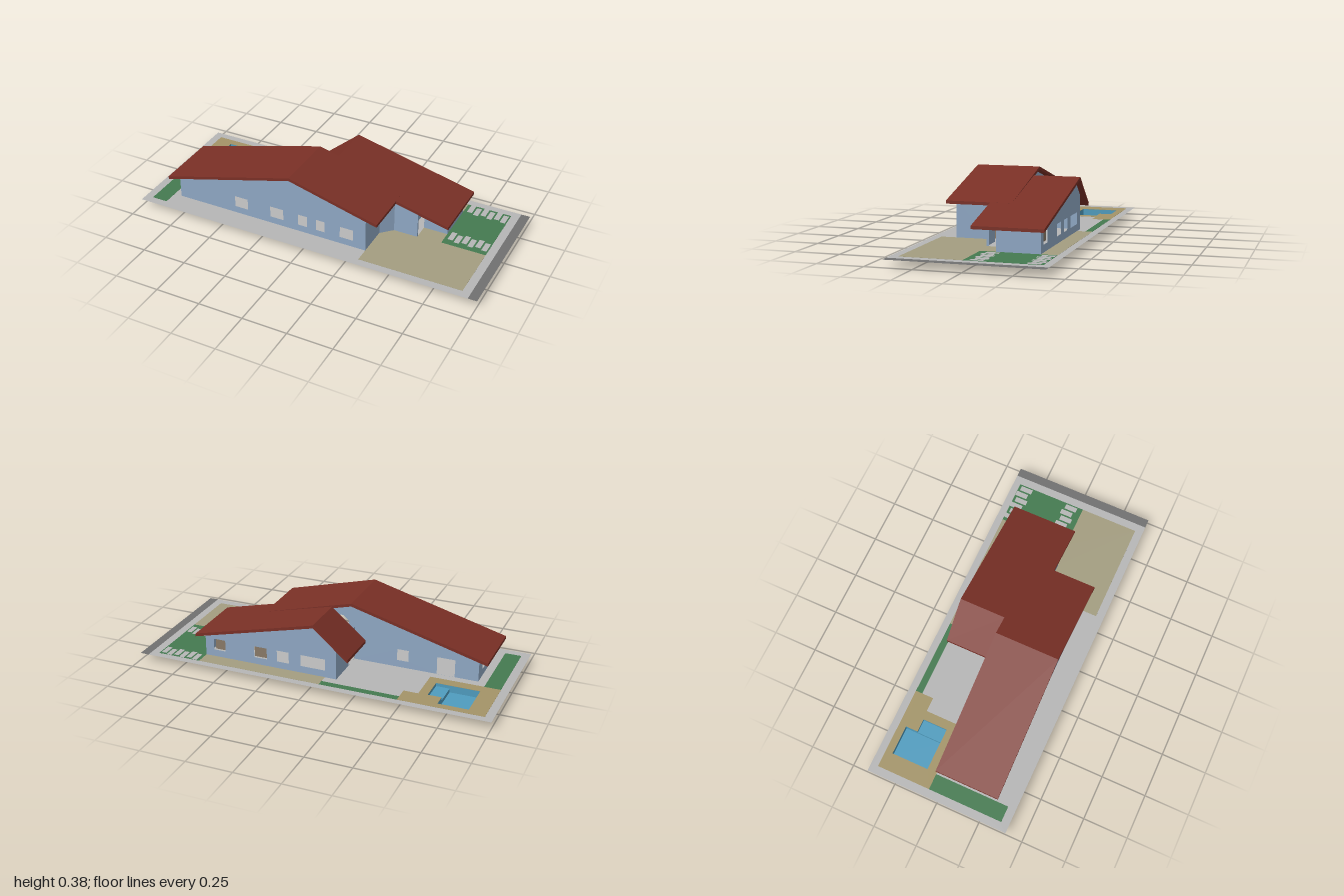
import * as THREE from 'three';

const GROUND = 0.04;
const mat = (color) => new THREE.MeshStandardMaterial({ color, side: THREE.DoubleSide, flatShading: true });
const M = {
  wall: mat(0x8fa8c4), roof: mat(0x7a3026), paving: mat(0xb6b6b6), road: mat(0x707070),
  grass: mat(0x447a50), drive: mat(0xa39d80), deck: mat(0xa39468), pool: mat(0x4f9cbe),
  tan: mat(0x8a7a68), dark: mat(0x333333), red: mat(0xb84a42), blue: mat(0x4444c0), grey: mat(0xb0b0b0),
};

const toShape = (pts) => new THREE.Shape(pts.map(([a, b]) => new THREE.Vector2(a, b)));
const rect = (a0, a1, b0, b1) => [[a0, b0], [a1, b0], [a1, b1], [a0, b1]];
const withHoles = (pts, holes) => {
  const s = toShape(pts);
  for (const h of holes) s.holes.push(toShape(h));
  return s;
};

// Undersides of the two roofs, as heights over x
const frontRoof = (x) => 0.382 - (x < -0.11 ? 0.2745 * (-0.11 - x) : 0.265 * (x + 0.11));
const backRoof = (x) => 0.346 - (x < 0 ? -0.85 * x : 0.2486 * x);
const THICK = 0.0165;

export function createModel() {
  const model = new THREE.Group();
  const add = (name, geometry, material, parent = model) => {
    const mesh = new THREE.Mesh(geometry, material);
    mesh.name = name;
    parent.add(mesh);
    return mesh;
  };

  // Flat outline in x, z laid at height y; thin ones show from both sides
  const flat = (name, pts, material, y = GROUND, depth = 0, holes = []) => {
    const s = withHoles(pts, holes);
    const g = depth ? new THREE.ExtrudeGeometry(s, { depth, bevelEnabled: false }) : new THREE.ShapeGeometry(s);
    g.rotateX(Math.PI / 2);
    return add(name, g.translate(0, y + depth / 2, 0), material);
  };

  // Upright sheet: along x at a given z, or along z at a given x
  const wallX = (name, z, pts, holes = [], material = M.wall) =>
    add(name, new THREE.ShapeGeometry(withHoles(pts, holes)).translate(0, 0, z), material);
  const wallZ = (name, x, pts, holes = [], material = M.wall) =>
    add(name, new THREE.ShapeGeometry(withHoles(pts, holes)).rotateY(-Math.PI / 2).translate(x, 0, 0), material);

  // Site surfaces
  const poolOutline = [[-0.86, -0.33], [-0.695, -0.33], [-0.695, -0.26], [-0.62, -0.26], [-0.62, -0.12], [-0.86, -0.12]];
  const PATCH = 0.0016;
  flat('ground', rect(-1, 0.95, -0.41, 0.405), M.paving, GROUND, 0, [poolOutline]);
  flat('road', rect(0.95, 1, -0.41, 0.405), M.road);
  flat('poolDeck', [[-0.955, -0.37], [-0.49, -0.37], [-0.49, -0.265], [-0.57, -0.265], [-0.57, -0.065], [-0.955, -0.065]],
    M.deck, GROUND, PATCH, [poolOutline]);
  flat('sideLawn', rect(-0.955, -0.865, -0.065, 0.36), M.grass, GROUND, PATCH);
  flat('backHedgeStrip', rect(-0.49, -0.055, -0.37, -0.332), M.grass, GROUND, PATCH);
  flat('backPath', rect(-0.055, 0.655, -0.37, -0.285), M.drive, GROUND, PATCH);
  flat('frontLawn', rect(0.655, 0.905, -0.37, 0.03), M.grass, GROUND, PATCH);
  flat('driveway', [[0.325, 0.36], [0.905, 0.36], [0.905, 0.03], [0.655, 0.03], [0.655, -0.055], [0.52, -0.055],
    [0.52, 0.04], [0.385, 0.04], [0.325, 0.1]], M.drive, GROUND, PATCH);

  // Two rows of stepping stones across the lawn
  for (const z of [-0.33, -0.045]) {
    for (let i = 0; i < 6; i++) {
      const stone = add('steppingStone', new THREE.BoxGeometry(0.029, 0.002, 0.07), M.paving);
      stone.position.set(0.688 + i * 0.039, GROUND + 0.001, z + (i % 2 ? 0.009 : -0.004));
    }
  }

  // Sunken pool with a shallow step
  flat('deepPoolFloor', rect(-0.86, -0.695, -0.33, -0.12), M.pool, 0);
  flat('shallowPoolFloor', rect(-0.695, -0.62, -0.26, -0.12), M.pool, 0.022);
  for (const z of [-0.33, -0.12]) wallX('poolSide', z, rect(-0.86, -0.695, 0, GROUND), [], M.pool);
  for (const z of [-0.26, -0.12]) wallX('shallowPoolSide', z, rect(-0.695, -0.62, 0.022, GROUND), [], M.pool);
  wallZ('poolEnd', -0.86, rect(-0.33, -0.12, 0, GROUND), [], M.pool);
  wallZ('poolEnd', -0.695, rect(-0.33, -0.26, 0, GROUND), [], M.pool);
  wallZ('poolStep', -0.695, rect(-0.26, -0.12, 0, 0.022), [], M.pool);
  wallZ('shallowPoolEnd', -0.62, rect(-0.26, -0.12, 0.022, GROUND), [], M.pool);

  // Roofs: sloping slabs drawn in x, y and extruded along z
  const roof = (name, profile, xs, z0, z1) => {
    const top = xs.map((x) => [x, profile(x)]);
    const under = xs.map((x) => [x, profile(x) - THICK]).reverse();
    const g = new THREE.ExtrudeGeometry(toShape([...top, ...under]), { depth: z1 - z0, bevelEnabled: false });
    add(name, g.translate(0, 0, z0), M.roof);
  };
  roof('frontWingRoof', frontRoof, [-0.875, -0.11, 0.4], -0.055, 0.305);
  roof('backWingRoof', backRoof, [0, 0.7], -0.315, 0.062);
  roof('backWingRoofFlap', backRoof, [-0.195, 0], -0.315, -0.055);

  // Walls reach just into the slabs
  const f = (x) => [x, frontRoof(x) - THICK * 0.7];
  const b = (x) => [x, backRoof(x) - THICK * 0.7];
  const win = (a0, a1) => rect(a0, a1, 0.08, 0.145);
  const door = (a0, a1) => rect(a0, a1, GROUND + 0.0005, 0.14);
  const G = GROUND;

  // Front wing
  wallX('frontWall', 0.275, [[-0.82, G], [0.325, G], f(0.325), f(-0.11), f(-0.82)],
    [win(-0.465, -0.385), win(-0.245, -0.165), win(-0.075, -0.02), win(0.033, 0.085), win(0.175, 0.252)]);
  wallX('courtyardWall', -0.02, [[-0.82, G], [-0.12, G], f(-0.12), f(-0.82)], [win(-0.43, -0.365), door(-0.69, -0.59)]);
  wallX('upperGable', -0.02, [b(-0.12), b(0), b(0.39), f(0.39), f(-0.11), f(-0.12)]);
  wallZ('rightEndWall', -0.82, [[-0.02, G], [0.275, G], [0.275, f(-0.82)[1]], [-0.02, f(-0.82)[1]]],
    [win(0.05, 0.1), win(0.16, 0.21)]);
  wallZ('leftEndWall', 0.325, [[0.1, G], [0.275, G], [0.275, f(0.325)[1]], [0.1, f(0.325)[1]]]);

  // Entrance: angled corner, short wall and open porch doorway
  const corner = add('angledWall', new THREE.ShapeGeometry(toShape(
    [[0, G], [0.0849, G], [0.0849, f(0.385)[1]], [0, f(0.325)[1]]])), M.wall);
  corner.position.set(0.325, 0, 0.1);
  corner.rotation.y = Math.PI / 4;
  wallX('entranceWall', 0.04, [[0.385, G], [0.52, G], b(0.52), b(0.385)]);
  wallZ('doorwayWall', 0.52, [[-0.055, G], [0.04, G], [0.04, b(0.52)[1]], [-0.055, b(0.52)[1]]], [door(-0.0545, 0.028)]);

  // Back wing
  wallX('porchWall', -0.055, [[0.52, G], [0.655, G], b(0.655), b(0.52)]);
  wallZ('backWingLeftWall', 0.655, [[-0.285, G], [-0.055, G], [-0.055, b(0.655)[1]], [-0.285, b(0.655)[1]]]);
  wallX('backWall', -0.285, [[-0.12, G], [0.655, G], b(0.655), b(0), b(-0.12)],
    [win(-0.055, 0.085), win(0.155, 0.225), win(0.285, 0.36), win(0.535, 0.605)]);
  wallZ('backWingRightWall', -0.12, [[-0.285, G], [-0.02, G], [-0.02, b(-0.12)[1]], [-0.285, b(-0.12)[1]]],
    [door(-0.11, -0.021)]);

  // Room partitions seen through the openings
  const partitions = [
    [-0.5, -0.443, 0.12, M.red], [-0.29, -0.13, 0.12, M.dark], [0.02, 0.11, 0.12, M.grey],
    [0.14, 0.29, 0.12, M.blue], [0.27, 0.4, -0.2, M.tan], [0.5, 0.64, -0.2, M.tan],
  ];
  for (const [x0, x1, z, material] of partitions) wallX('roomPartition', z, rect(x0, x1, G, 0.16), [], material);
  wallZ('hallPartition', 0.3, rect(-0.018, 0.1, G, 0.2), [], M.tan);

  return model;
}
